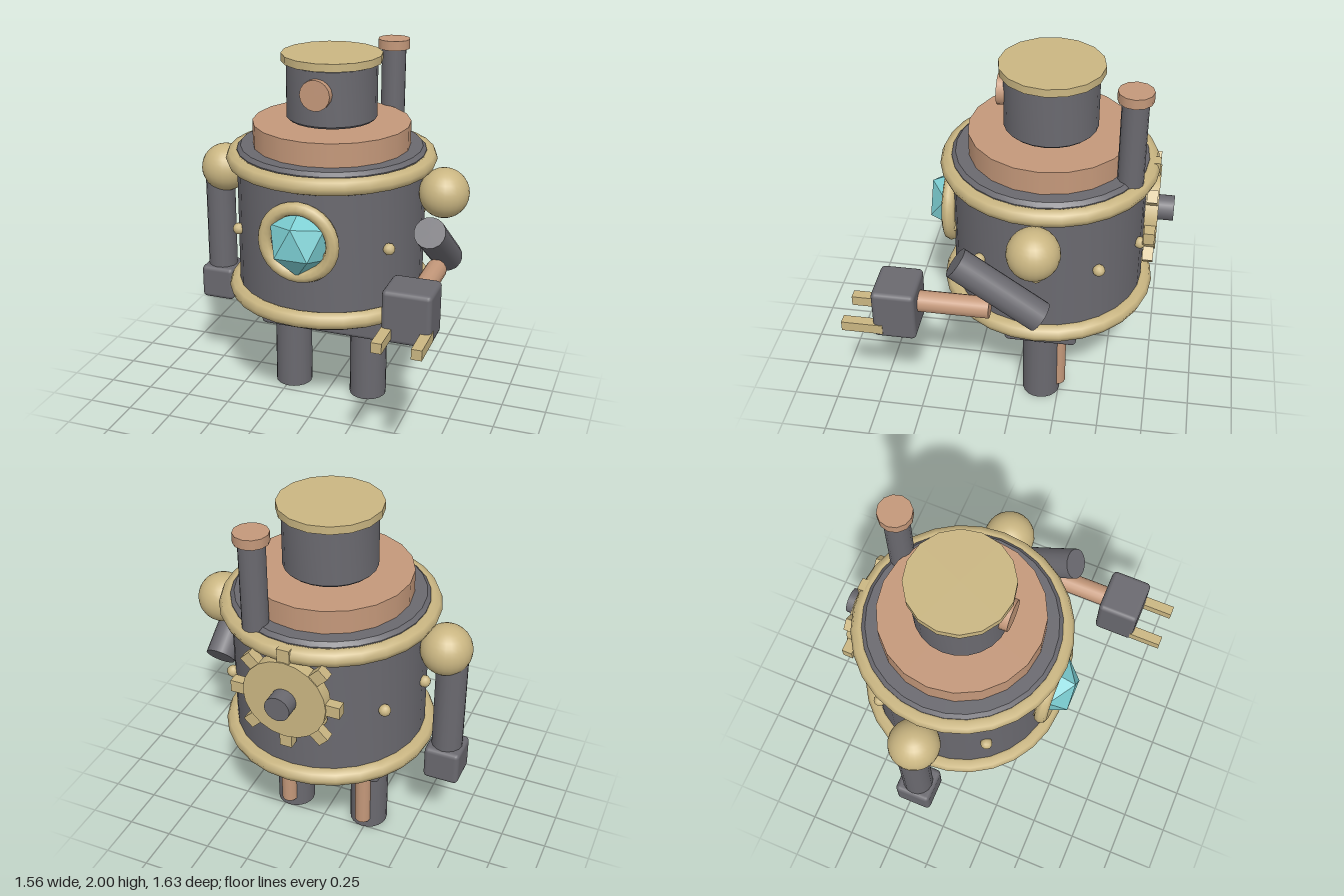
import * as THREE from 'three';
import { toCreasedNormals } from 'three/addons/utils/BufferGeometryUtils.js';
import { RoundedBoxGeometry } from 'three/addons/geometries/RoundedBoxGeometry.js';

export function createModel() {
  const model = new THREE.Group();
  model.name = 'robot';
  const material = (name, color, flatShading = false) => {
    const m = new THREE.MeshStandardMaterial({ color, flatShading });
    m.name = name;
    return m;
  };
  const iron = material('iron grey', 0x6a696f);
  const brass = material('brass', 0xcab682);
  const copper = material('copper', 0xc4987a);
  const crystal = material('crystal teal', 0x7bcdd1, true);
  const CX = -0.008, CZ = -0.152; // vertical axis of the body

  const add = (name, geometry, mat, x, y, z, parent = model) => {
    const mesh = new THREE.Mesh(geometry, mat);
    mesh.name = name;
    mesh.position.set(x, y, z);
    parent.add(mesh);
    return mesh;
  };
  const cylinder = (r, h, sides = 16) => new THREE.CylinderGeometry(r, r, h, sides);
  const rounded = (w, h, d, r = 0.025) => new RoundedBoxGeometry(w, h, d, 2, r);
  // Upright drum with bevelled rims, base at y = 0
  const drum = (r, h, bevel, sides) => toCreasedNormals(new THREE.LatheGeometry([
    [0, 0], [r - bevel, 0], [r, bevel], [r, h - bevel], [r - bevel, h], [0, h],
  ].map(([x, y]) => new THREE.Vector2(x, y)), sides), 0.6);

  // Boiler body with two brass hoops
  add('body', drum(0.517, 0.89, 0.02, 28), iron, CX, 0.61, CZ);
  for (const [name, y] of [['lowerHoop', 0.68], ['upperHoop', 1.432]]) {
    add(name, new THREE.TorusGeometry(0.53, 0.048, 8, 28).rotateX(Math.PI / 2), brass, CX, y, CZ);
  }

  // Ring of rivets
  const rivets = new THREE.Group();
  rivets.name = 'rivets';
  model.add(rivets);
  for (let i = 0; i < 10; i++) {
    const a = i * Math.PI / 5;
    add('rivet', new THREE.IcosahedronGeometry(0.033, 1), brass,
      CX + 0.53 * Math.cos(a), 1.055, CZ + 0.53 * Math.sin(a), rivets);
  }

  // Collar, head, lid and eye
  add('collar', cylinder(0.43, 0.15, 20), copper, CX, 1.553, CZ);
  add('head', drum(0.246, 0.315, 0.012, 24), iron, CX, 1.645, CZ);
  add('lid', cylinder(0.272, 0.042, 16), brass, CX, 1.977, CZ);
  add('eye', cylinder(0.083, 0.05).rotateX(Math.PI / 2), copper, CX, 1.83, 0.097);

  // Chimney
  add('chimney', cylinder(0.068, 0.56), iron, 0.208, 1.69, -0.585);
  add('chimneyCap', cylinder(0.09, 0.052, 12), copper, 0.208, 1.972, -0.585);

  // Porthole with a faceted crystal, one face turned to the front
  add('portholeRing', new THREE.TorusGeometry(0.188, 0.037, 8, 28), brass, CX, 1.114, 0.37);
  const gem = new THREE.IcosahedronGeometry(1, 0);
  gem.rotateY(-0.365).rotateZ(Math.PI / 2).scale(0.172, 0.186, 0.16);
  add('crystal', gem, crystal, CX, 1.114, 0.36);

  // Gear on the back
  const gear = new THREE.Group();
  gear.name = 'backGear';
  gear.position.set(CX, 1.18, -0.702);
  model.add(gear);
  add('gearDisc', cylinder(0.225, 0.068, 20).rotateX(Math.PI / 2), brass, 0, 0, 0, gear);
  add('gearShaft', cylinder(0.068, 0.2).rotateX(Math.PI / 2), iron, 0, 0, -0.015, gear);
  for (let i = 0; i < 8; i++) {
    const a = i * Math.PI / 4;
    const tooth = add('gearTooth', new THREE.BoxGeometry(0.09, 0.066, 0.056), brass,
      0.25 * Math.cos(a), 0.25 * Math.sin(a), 0, gear);
    tooth.rotation.z = a;
  }

  // Hips, legs and the rods behind them
  add('hips', rounded(0.712, 0.195, 0.4), iron, CX, 0.533, CZ);
  for (const [side, s] of [['left', 1], ['right', -1]]) {
    const x = CX + s * 0.23;
    add(side + 'Leg', cylinder(0.106, 0.46, 20), iron, x, 0.23, -0.148);
    add(side + 'LegRod', cylinder(0.045, 0.4, 12), copper, x, 0.258, -0.242);
    add(side + 'Shoulder', new THREE.SphereGeometry(0.136, 24, 16), brass, CX + s * 0.637, 1.288, CZ);
  }

  // Hanging right arm
  add('rightArm', cylinder(0.083, 0.62), iron, -0.682, 0.985, CZ);
  add('rightHand', rounded(0.195, 0.197, 0.2), iron, -0.682, 0.593, CZ);

  // Bent left arm with a two-pronged gripper
  add('leftUpperArm', cylinder(0.083, 0.52), iron, 0.653, 1.057, 0.021).rotation.x = 0.955;
  add('leftForearm', cylinder(0.056, 0.38).rotateX(Math.PI / 2), copper, 0.655, 0.936, 0.254);
  add('leftHand', rounded(0.253, 0.28, 0.223), iron, 0.652, 0.91, 0.541);
  for (const x of [0.555, 0.755]) {
    add('gripperProng', new THREE.BoxGeometry(0.054, 0.055, 0.215), brass, x, 0.823, 0.708);
  }
  return model;
}
